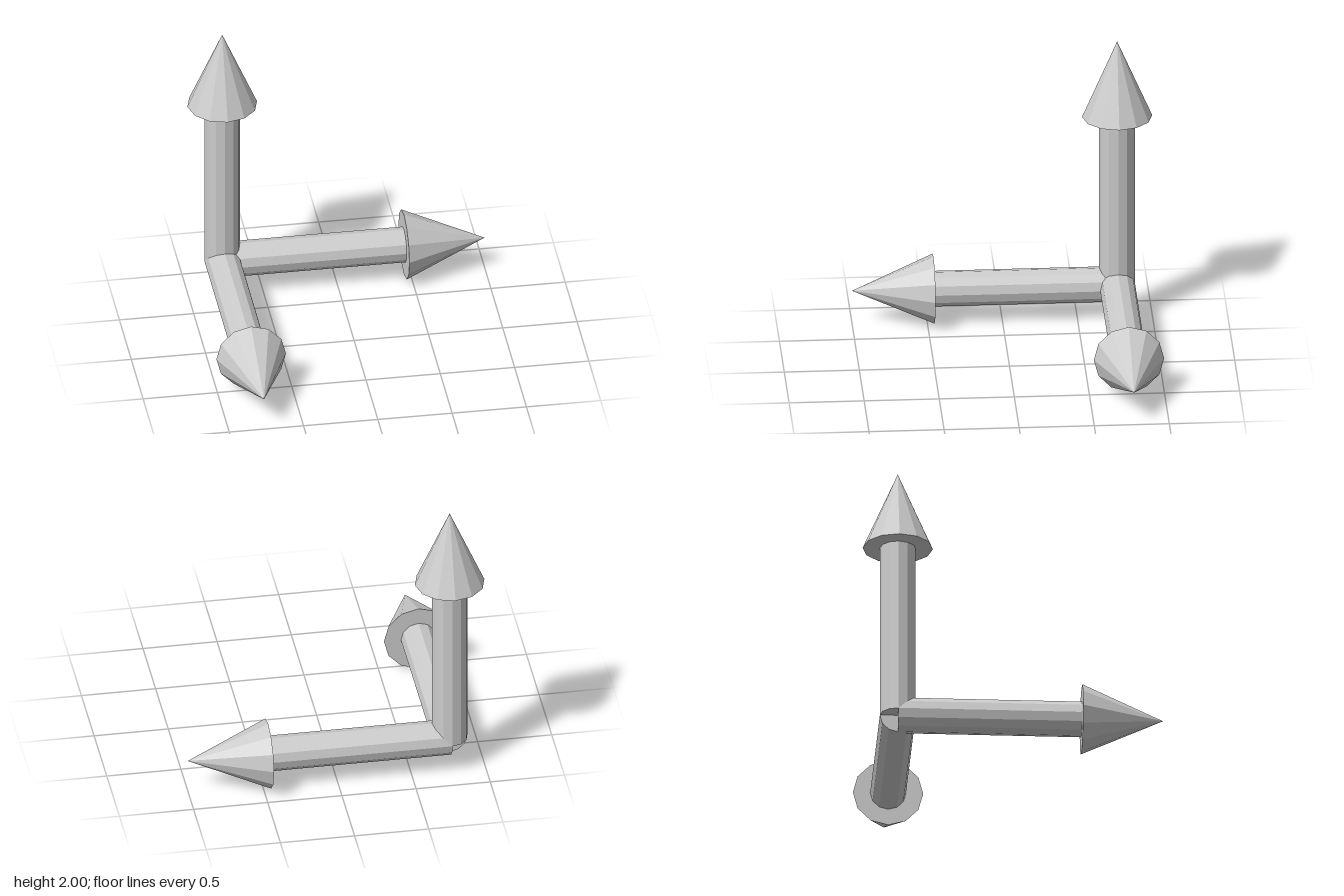
import * as THREE from 'three';

const SIDES = 12;
const LENGTH = 1.766;      // corner to arrow tip
const HEAD_LENGTH = 0.543;
const HEAD_RADIUS = 0.234;
const SHAFT_RADIUS = 0.119;

export function createModel() {
  const model = new THREE.Group();
  model.name = 'axisArrows';
  const material = new THREE.MeshStandardMaterial({ color: 0xcccccc, flatShading: true });

  // One arrow along +y, starting at the shared corner
  const shaftLength = LENGTH - HEAD_LENGTH;
  const shaftGeometry = new THREE.CylinderGeometry(SHAFT_RADIUS, SHAFT_RADIUS, shaftLength, SIDES);
  shaftGeometry.translate(0, shaftLength / 2, 0);
  const headGeometry = new THREE.ConeGeometry(HEAD_RADIUS, HEAD_LENGTH, SIDES);
  headGeometry.translate(0, shaftLength + HEAD_LENGTH / 2, 0);

  function addArrow(name, rotX, rotZ) {
    const arrow = new THREE.Group();
    arrow.name = name;
    const shaft = new THREE.Mesh(shaftGeometry, material);
    shaft.name = 'shaft';
    const head = new THREE.Mesh(headGeometry, material);
    head.name = 'arrowHead';
    arrow.add(shaft, head);
    arrow.rotation.set(rotX, 0, rotZ);
    arrow.position.set(HEAD_RADIUS - 1, HEAD_RADIUS, HEAD_RADIUS - 1);
    model.add(arrow);
  }

  addArrow('upArrow', 0, 0);
  addArrow('sideArrow', 0, -Math.PI / 2);
  addArrow('frontArrow', Math.PI / 2, 0);

  return model;
}
